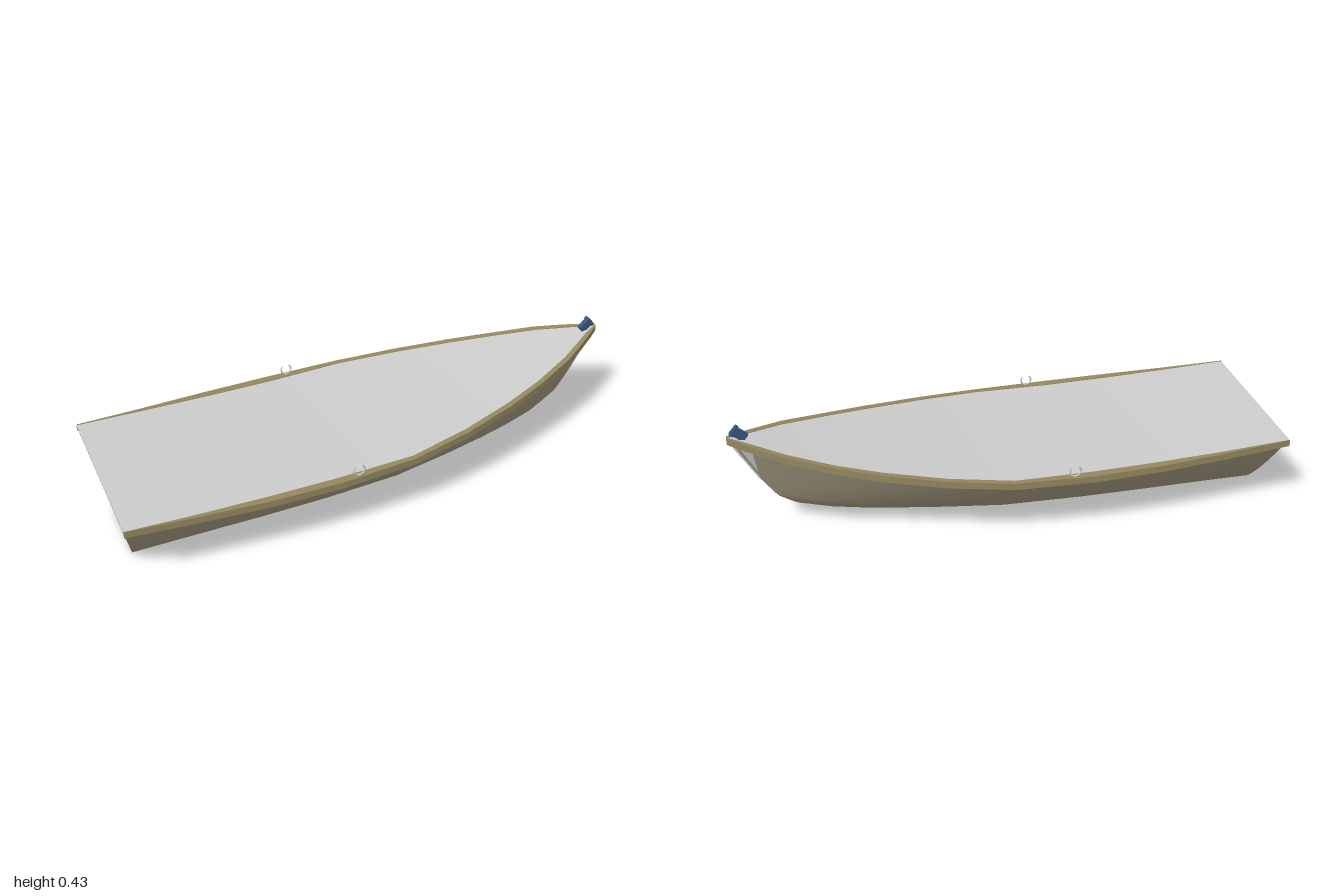
import * as THREE from 'three';

// Station tables along the sheer: x, half width, height, deck half width
const STATIONS = [
  [-1, 0.325, 0.288, 0.323], [-0.75, 0.342, 0.278, 0.327], [-0.5, 0.357, 0.271, 0.329],
  [-0.25, 0.362, 0.268, 0.33], [0.04, 0.35, 0.273, 0.33], [0.27, 0.31, 0.290, 0.288],
  [0.48, 0.255, 0.311, 0.232], [0.64, 0.2, 0.331, 0.178], [0.8, 0.134, 0.357, 0.11],
  [0.9, 0.075, 0.374, 0.052], [0.96, 0.036, 0.384, 0.018], [1, 0.008, 0.392, 0],
];
// Stem profile: share of section height, setback from the bow tip
const STEM = [[0, -0.3], [0.07, -0.22], [0.2, -0.155], [0.45, -0.1], [0.73, -0.05], [1, 0]];

function lookup(table, x, col = 1) {
  let i = 1;
  while (i < table.length - 1 && table[i][0] < x) i++;
  const a = table[i - 1], b = table[i];
  return a[col] + (b[col] - a[col]) * (x - a[0]) / (b[0] - a[0]);
}

// Hull section: x along the sheer, u from bottom (0) to sheer (1)
function hullPoint(x, u, side = 1, out = 0) {
  const top = lookup(STATIONS, x, 2) - 0.008;
  const w = Math.max(lookup(STATIONS, x, 1) - 0.014, 0.002);
  const bow = Math.max(x, 0) ** 2;
  const stern = Math.max(-x, 0) ** 2;
  const footX = x - 0.3 * bow;
  const foot = 0.005 + 0.055 * (footX + 1) / 1.7;
  const flat = Math.min(0.105 * Math.min(1, Math.max(0, (0.95 - x) / 0.9)), w);
  const fullness = 0.6 + 0.15 * stern - 0.22 * bow;
  const px = x + lookup(STEM, u) * bow + 0.055 * (1 - u) * stern ** 4;
  return [px + out * bow, foot + (top - foot) * u, side * (flat + (w - flat) * u ** fullness + out)];
}

// Surface through a grid of points
function surface(name, us, vs, fn, material) {
  const pos = [], idx = [], n = vs.length;
  us.forEach(u => vs.forEach(v => pos.push(...fn(u, v))));
  for (let i = 0; i < us.length - 1; i++) {
    for (let j = 0; j < n - 1; j++) {
      const a = i * n + j, b = a + n;
      idx.push(a, b, a + 1, b, b + 1, a + 1);
    }
  }
  const g = new THREE.BufferGeometry();
  g.setAttribute('position', new THREE.Float32BufferAttribute(pos, 3));
  g.setIndex(idx);
  g.computeVertexNormals();
  const mesh = new THREE.Mesh(g, material);
  mesh.name = name;
  return mesh;
}

const steps = (n, a = 0, b = 1) => Array.from({ length: n + 1 }, (_, i) => a + (b - a) * i / n);

export function createModel() {
  const boat = new THREE.Group();
  boat.name = 'rowingBoat';
  const mat = color => new THREE.MeshStandardMaterial({ color, side: THREE.DoubleSide });
  const grey = mat(0xcccccc), olive = mat(0x9c927a), trim = mat(0x94875f), blue = mat(0x34557a);
  const xs = STATIONS.map(s => s[0]);
  const heights = steps(16).map(t => t * t);

  for (const side of [1, -1]) {
    const label = side > 0 ? 'front' : 'back';
    // Planked side; v runs so that normals face outward
    const rows = side > 0 ? heights : [...heights].reverse();
    boat.add(surface(label + 'HullSide', xs, rows, (x, u) => hullPoint(x, u, side), olive));

    // Tapered plate beside the stem
    const plateRows = side > 0 ? steps(8, 0.42, 0.9) : steps(8, 0.9, 0.42);
    boat.add(surface(label + 'StemPlate', steps(4), plateRows,
      (t, u) => hullPoint(1 - (1 - t) * 0.07 * (u - 0.42) / 0.48, u, side, 0.002), grey));

    // Gunwale: four flat strips round a rectangular section
    const rail = new THREE.Group();
    rail.name = label + 'Gunwale';
    const corner = (x, k) => {
      const y = lookup(STATIONS, x, 2), outer = k === 1 || k === 2;
      return [x, y - (k > 1 ? 0.026 : 0), side * lookup(STATIONS, x, outer ? 1 : 3)];
    };
    for (let k = 0; k < 4; k++) {
      const pair = side > 0 ? [(k + 1) % 4, k] : [k, (k + 1) % 4];
      rail.add(surface('railFace', xs, pair, corner, trim));
    }
    boat.add(rail);

    // Oarlock: open ring on a short pin
    const oarlock = new THREE.Group();
    oarlock.name = label + 'Oarlock';
    const ring = new THREE.Mesh(new THREE.TorusGeometry(0.02, 0.003, 6, 20, Math.PI * 1.5), grey);
    ring.name = 'oarlockRing';
    ring.rotation.z = Math.PI * 0.75;
    ring.position.y = 0.022;
    const pin = new THREE.Mesh(new THREE.CylinderGeometry(0.004, 0.004, 0.02, 8), grey);
    pin.name = 'oarlockPin';
    pin.position.y = -0.006;
    oarlock.add(ring, pin);
    oarlock.position.set(-0.175, 0.269, side * 0.347);
    boat.add(oarlock);
  }

  // Flat bottom, deck and transom
  boat.add(surface('bottom', xs, [-1, 1], (x, v) => {
    const p = hullPoint(x, 0);
    return [p[0], p[1], p[2] * v];
  }, grey));
  boat.add(surface('deck', xs, [1, -1],
    (x, v) => [x, lookup(STATIONS, x, 2) - 0.002, v * lookup(STATIONS, x, 3)], grey));
  boat.add(surface('transom', heights, [1, -1], (u, v) => {
    const p = hullPoint(-1, u);
    return [p[0], p[1], p[2] * v];
  }, grey));

  // Bow fitting: leaning post with a wider head
  const fitting = new THREE.Group();
  fitting.name = 'bowFitting';
  for (const [name, w, h, d, y] of [['post', 0.032, 0.05, 0.018, 0.01], ['head', 0.04, 0.014, 0.022, 0.034]]) {
    const part = new THREE.Mesh(new THREE.BoxGeometry(w, h, d), blue);
    part.name = name;
    part.position.y = y;
    fitting.add(part);
  }
  fitting.position.set(0.945, 0.392, 0);
  fitting.rotation.z = -0.85;
  boat.add(fitting);
  return boat;
}
